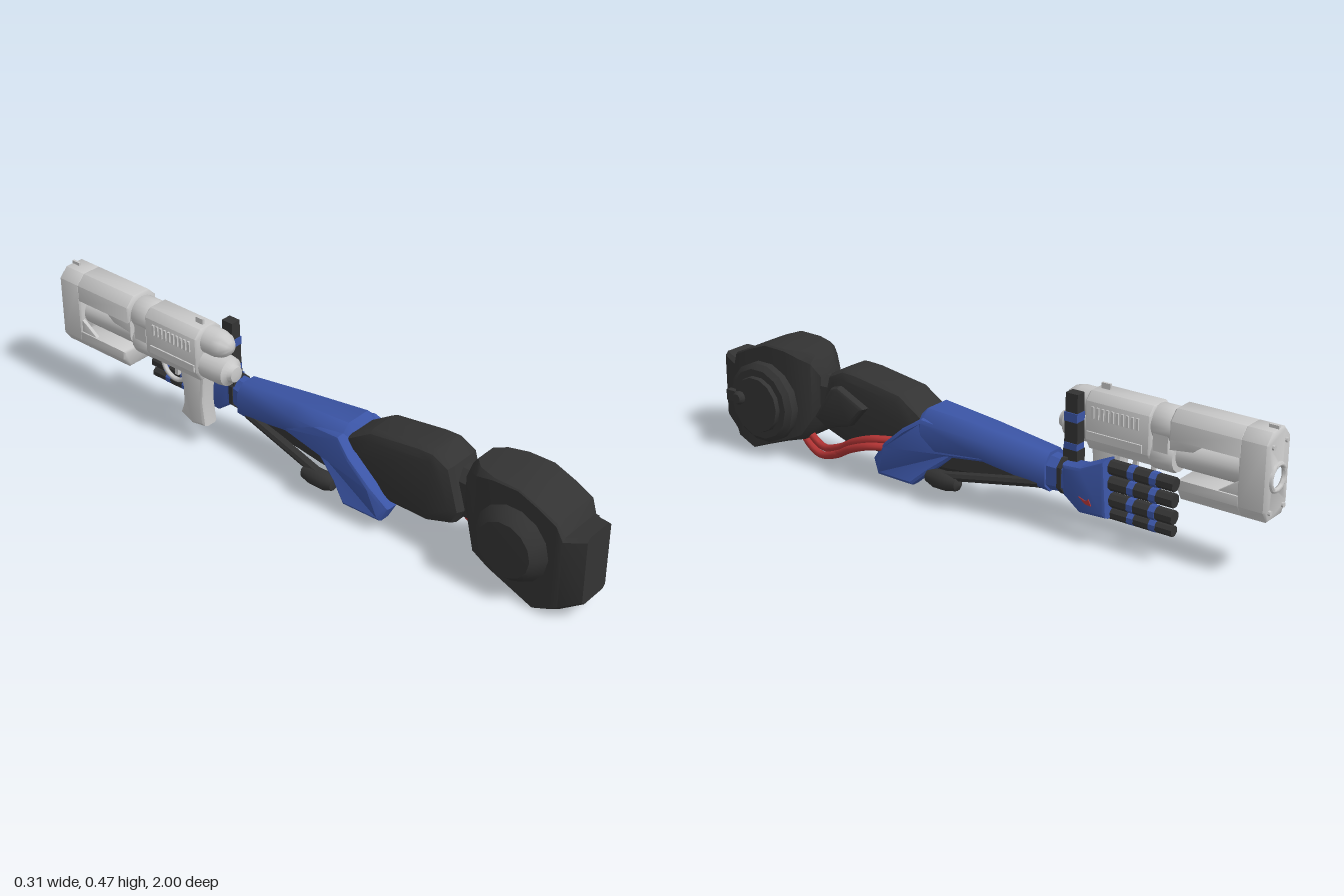
import * as THREE from 'three';
import { toCreasedNormals } from 'three/addons/utils/BufferGeometryUtils.js';

const mat = (name, color) => {
  const m = new THREE.MeshStandardMaterial({ color });
  m.name = name;
  return m;
};

export function createModel() {
  const root = new THREE.Group();
  root.name = 'armWithBlaster';
  const black = mat('charcoal', 0x333333), blue = mat('blue', 0x3b55a6);
  const grey = mat('lightGrey', 0xc8c8c8), red = mat('red', 0xb23434);

  const add = (name, geo, material, crease = 0.5) => {
    const m = new THREE.Mesh(toCreasedNormals(geo, crease), material);
    m.name = name;
    root.add(m);
    return m;
  };
  const toShape = (pts) => new THREE.Shape(pts.map((p) => new THREE.Vector2(p[0], p[1])));

  // Side profile of [z, y] points, extruded from x0 to x1; shift(z) moves it sideways along its length
  const slab = (name, pts, x0, x1, bevel, material, shift = () => 0) => {
    const g = new THREE.ExtrudeGeometry(toShape(pts), {
      depth: x1 - x0 - 2 * bevel, bevelEnabled: bevel > 0, bevelSize: bevel, bevelOffset: -bevel,
      bevelThickness: bevel, bevelSegments: 2,
    });
    g.rotateY(-Math.PI / 2).translate(x1 - bevel, 0, 0);
    const p = g.attributes.position;
    for (let i = 0; i < p.count; i++) p.setX(i, p.getX(i) + shift(p.getZ(i)));
    return add(name, g, material);
  };

  // Front profile of [x, y] points, extruded from z0 up to z1
  const prism = (name, pts, z0, z1, material, hole) => {
    const s = toShape(pts);
    if (hole) s.holes.push(new THREE.Path().absarc(hole[0], hole[1], hole[2], 0, Math.PI * 2, true));
    const b = 0.006;
    const g = new THREE.ExtrudeGeometry(s, {
      depth: z1 - z0 - 2 * b, bevelSize: b, bevelOffset: -b, bevelThickness: b, bevelSegments: 1, curveSegments: 16,
    });
    g.translate(0, 0, z0 + b);
    return add(name, g, material, 0.85);
  };

  // Chamfered box sections [z, x0, x1, y0, y1, chamfer], listed from high z to low z
  const loft = (name, rows, material, crease) => {
    const pos = [], idx = [], n = rows.length;
    for (const [z, x0, x1, y0, y1, c] of rows) {
      pos.push(x0 + c, y0, z, x1 - c, y0, z, x1, y0 + c, z, x1, y1 - c, z,
        x1 - c, y1, z, x0 + c, y1, z, x0, y1 - c, z, x0, y0 + c, z);
    }
    for (let r = 0; r < n - 1; r++) {
      for (let i = 0; i < 8; i++) {
        const a = r * 8 + i, b = r * 8 + (i + 1) % 8;
        idx.push(a, a + 8, b, b, a + 8, b + 8);
      }
    }
    const last = (n - 1) * 8;
    for (let i = 1; i < 7; i++) idx.push(0, i, i + 1, last, last + i + 1, last + i);
    const g = new THREE.BufferGeometry();
    g.setAttribute('position', new THREE.Float32BufferAttribute(pos, 3));
    g.setIndex(idx);
    return add(name, g, material, crease);
  };

  const box = (name, x, y, z, w, h, d, material) =>
    add(name, new THREE.BoxGeometry(w, h, d).translate(x, y, z), material);
  // Turned profile of [radius, offset] points, rising along the x or z axis
  const turned = (name, pts, axis, x, y, z, sides, material) => {
    const g = new THREE.LatheGeometry(pts.map((p) => new THREE.Vector2(p[0], p[1])), sides);
    if (axis === 'x') g.rotateZ(-Math.PI / 2);
    else g.rotateX(Math.PI / 2);
    return add(name, g.translate(x, y, z), material, 0.7);
  };

  // Shoulder
  loft('shoulder', [
    [1.0, -0.07, 0.045, 0.065, 0.295, 0.012], [0.94, -0.1, 0.065, 0.035, 0.283, 0.012],
    [0.915, -0.1, 0.08, 0.025, 0.32, 0.006], [0.855, -0.1, 0.08, 0, 0.348, 0.004],
    [0.785, -0.1, 0.08, 0.028, 0.375, 0.004], [0.7, -0.1, 0.08, 0.06, 0.375, 0.006],
    [0.64, -0.095, 0.075, 0.075, 0.374, 0.02], [0.605, -0.07, 0.06, 0.12, 0.37, 0.03],
    [0.575, -0.05, 0.045, 0.17, 0.33, 0.03],
  ], black, 0.7);
  turned('shoulderDisc', [[0.135, 0], [0.135, 0.03], [0.118, 0.045], [0.095, 0.045], [0.092, 0.06], [0, 0.06]],
    'x', 0.075, 0.182, 0.785, 14, black);
  turned('shoulderInnerPad', [[0, -0.047], [0.09, -0.045], [0.105, -0.03], [0.125, 0]],
    'x', -0.098, 0.19, 0.775, 14, black);
  turned('shoulderHub', [[0.022, 0], [0.022, 0.022], [0.016, 0.03], [0, 0.03]], 'x', 0.125, 0.195, 0.85, 12, black);
  box('hubBar', 0.132, 0.195, 0.88, 0.02, 0.036, 0.05, black);

  // Upper arm
  loft('armNeck', [[0.62, -0.05, 0.05, 0.13, 0.3, 0.03], [0.5, -0.05, 0.04, 0.13, 0.3, 0.03]], black);
  slab('upperArm', [[0.575, 0.18], [0.535, 0.32], [0.475, 0.35], [0.42, 0.348], [0.24, 0.322], [0.15, 0.265],
    [0.17, 0.19], [0.3, 0.1], [0.46, 0.1], [0.55, 0.13]], -0.085, 0.065, 0.03, black);
  slab('upperArmPanel', [[0.57, 0.18], [0.5, 0.29], [0.47, 0.3], [0.36, 0.25], [0.42, 0.18], [0.52, 0.15]],
    0.05, 0.09, 0.012, black);

  // Cables
  for (const o of [0, 1]) {
    const path = new THREE.CatmullRomCurve3([
      [0.03, 0.075, 0.67], [0.045, 0.055, 0.63], [0.06, 0.04, 0.57], [0.075, 0.065, 0.49],
      [0.098, 0.11, 0.41], [0.1, 0.14, 0.33], [0.075, 0.145, 0.26],
    ].map(([x, y, z]) => new THREE.Vector3(x - o * 0.012, y + o * 0.022, z - o * 0.005)));
    add('cable', new THREE.TubeGeometry(path, 28, 0.0125, 8), red, 1);
  }

  // Elbow and forearm
  add('elbowJoint', new THREE.CylinderGeometry(0.06, 0.06, 0.16, 16).rotateZ(Math.PI / 2)
    .translate(-0.012, 0.12, 0.23), black);
  loft('forearm', [
    [0.2, -0.08, 0.07, 0.15, 0.235, 0.03], [0.14, -0.09, 0.08, 0.13, 0.295, 0.04],
    [-0.07, -0.078, 0.06, 0.155, 0.277, 0.035], [-0.3, -0.065, 0.042, 0.125, 0.25, 0.028],
  ], blue, 0.8);
  // Elbow guards flare outward at the elbow and fold into the forearm
  const guard = [[0.14, 0.27], [-0.05, 0.24], [-0.12, 0.18], [0.03, 0.16], [0.115, 0.095], [0.17, 0.045],
    [0.31, 0.045], [0.335, 0.095], [0.28, 0.16], [0.2, 0.23]];
  const fold = (z) => (z > 0.27 ? (z - 0.27) * 0.35 : THREE.MathUtils.clamp((0.2 - z) * 0.35, 0, 0.05));
  slab('elbowGuardLeft', guard, 0.05, 0.1, 0.012, blue, (z) => -fold(z));
  slab('elbowGuardRight', guard, -0.125, -0.07, 0.012, blue, fold);
  loft('forearmUnderside', [
    [0.16, -0.07, 0.05, 0.08, 0.2, 0.03], [0.05, -0.07, 0.05, 0.09, 0.2, 0.03],
    [-0.28, -0.045, 0.025, 0.125, 0.2, 0.02],
  ], black);
  for (const x of [-0.094, 0.066]) {
    turned('forearmPod', [[0, -0.07], [0.022, -0.055], [0.03, -0.02], [0.03, 0.03], [0.02, 0.06], [0, 0.065]],
      'z', x, 0.085, 0.06, 12, black);
    const rod = new THREE.LineCurve3(new THREE.Vector3(x, 0.1, 0.06),
      new THREE.Vector3(x < 0 ? -0.045 : 0.025, 0.15, -0.27));
    add('forearmRod', new THREE.TubeGeometry(rod, 1, 0.016, 8), black);
  }

  // Wrist and hand
  loft('wrist', [[-0.3, -0.05, 0.035, 0.13, 0.24, 0.025], [-0.37, -0.035, 0.035, 0.14, 0.235, 0.02]], blue);
  loft('wristBand', [[-0.34, -0.045, 0.038, 0.13, 0.245, 0.025], [-0.355, -0.045, 0.038, 0.13, 0.245, 0.025]], black);
  slab('hand', [[-0.355, 0.235], [-0.42, 0.24], [-0.5, 0.278], [-0.515, 0.1], [-0.42, 0.095], [-0.36, 0.14]],
    -0.03, 0.038, 0.012, blue);
  slab('handMark', [[-0.42, 0.15], [-0.445, 0.142], [-0.455, 0.15], [-0.465, 0.13], [-0.445, 0.132]],
    0.036, 0.041, 0, red);
  [0.252, 0.202, 0.15, 0.108].forEach((y, i) => {
    const r = i < 3 ? 0.023 : 0.018;
    const seg = (name, z0, z1, k, m) => add(name, new THREE.CylinderGeometry(r * k, r * k, z0 - z1, 8)
      .rotateX(Math.PI / 2).rotateZ(Math.PI / 8).translate(-0.002, y, (z0 + z1) / 2), m);
    seg('fingerBase', -0.505, -0.572, 1, black);
    seg('fingerMiddle', -0.59, -0.646, 1, black);
    seg('fingerTip', -0.664, -0.722, 0.95, black);
    seg('fingerJoint', -0.57, -0.592, 1.02, blue);
    seg('fingerJoint', -0.644, -0.666, 1.02, blue);
  });
  box('thumbBase', -0.018, 0.245, -0.362, 0.04, 0.05, 0.05, black);
  box('thumbLowerJoint', -0.017, 0.28, -0.362, 0.038, 0.022, 0.046, blue);
  box('thumbMiddle', -0.018, 0.324, -0.362, 0.036, 0.068, 0.046, black);
  box('thumbUpperJoint', -0.0165, 0.371, -0.362, 0.039, 0.028, 0.046, blue);
  box('thumbTip', -0.018, 0.414, -0.362, 0.035, 0.06, 0.042, black);

  // Blaster: rear caps
  turned('rearUpperCap', [[0.045, 0], [0.045, 0.065], [0.038, 0.092], [0.022, 0.112], [0, 0.12]],
    'z', -0.088, 0.398, -0.41, 20, grey);
  turned('rearLowerCap', [[0.05, 0], [0.05, 0.09], [0.046, 0.115], [0.03, 0.125], [0.025, 0.14], [0, 0.145]],
    'z', -0.095, 0.318, -0.41, 20, grey);
  // Receiver and collar
  prism('receiver', [[-0.125, 0.445], [-0.06, 0.445], [-0.035, 0.42], [-0.035, 0.3], [-0.055, 0.265],
    [-0.13, 0.265], [-0.15, 0.3], [-0.15, 0.42]], -0.61, -0.385, grey);
  for (const x of [-0.151, -0.034]) {
    for (let i = 0; i < 10; i++) box('ventRib', x, 0.388, -0.415 - i * 0.017, 0.009, 0.036, 0.008, grey);
    box('sideRail', x, 0.315, -0.49, 0.008, 0.025, 0.19, grey);
  }
  for (const [y, r] of [[0.392, 0.055], [0.3, 0.053]]) {
    turned('collar', [[0, -0.04], [r - 0.005, -0.04], [r, -0.03], [r, 0.03], [r - 0.005, 0.04], [0, 0.04]],
      'z', -0.092, y, -0.64, 20, grey);
  }
  box('collarBlock', -0.092, 0.345, -0.64, 0.1, 0.09, 0.05, grey);
  // Barrel shroud with open side windows
  const full = [[-0.125, 0.456], [-0.06, 0.456], [-0.03, 0.425], [-0.03, 0.225], [-0.05, 0.19],
    [-0.13, 0.19], [-0.155, 0.225], [-0.155, 0.425]];
  prism('shroudFront', full, -0.99, -0.9, grey, [-0.092, 0.315, 0.038]);
  prism('shroudTop', [[-0.125, 0.456], [-0.06, 0.456], [-0.03, 0.425], [-0.03, 0.37], [-0.155, 0.37],
    [-0.155, 0.425]], -0.91, -0.675, grey);
  prism('shroudBottom', [[-0.03, 0.255], [-0.03, 0.225], [-0.05, 0.19], [-0.13, 0.19], [-0.155, 0.225],
    [-0.155, 0.255]], -0.91, -0.705, grey);
  for (const x of [-0.15, -0.048]) {
    slab('windowBrace', [[-0.675, 0.375], [-0.79, 0.375], [-0.75, 0.345], [-0.675, 0.335]], x, x + 0.012, 0.002, grey);
    slab('windowFoot', [[-0.83, 0.25], [-0.905, 0.25], [-0.905, 0.3], [-0.88, 0.285]], x, x + 0.012, 0.002, grey);
  }
  turned('barrel', [[0, -0.15], [0.046, -0.15], [0.046, 0.1], [0, 0.1]], 'z', -0.092, 0.315, -0.79, 20, grey);
  add('muzzleRing', new THREE.TorusGeometry(0.039, 0.008, 8, 24).translate(-0.092, 0.315, -0.99), grey, 1);
  for (const x of [-0.13, -0.055]) for (const y of [0.22, 0.415]) {
    add('muzzleBolt', new THREE.CylinderGeometry(0.008, 0.008, 0.012, 8).rotateX(Math.PI / 2)
      .translate(x, y, -0.991), grey);
  }
  box('rearSight', -0.094, 0.452, -0.42, 0.008, 0.022, 0.03, grey);
  box('frontSight', -0.094, 0.458, -0.97, 0.008, 0.016, 0.03, grey);
  // Grip and trigger
  slab('grip', [[-0.39, 0.28], [-0.5, 0.28], [-0.485, 0.2], [-0.485, 0.14], [-0.5, 0.1], [-0.45, 0.075],
    [-0.39, 0.085], [-0.4, 0.17]], -0.12, -0.062, 0.012, grey);
  add('triggerGuard', new THREE.TorusGeometry(0.052, 0.008, 8, 20, Math.PI * 1.1).rotateZ(Math.PI * 0.95)
    .rotateY(Math.PI / 2).translate(-0.092, 0.245, -0.54), grey, 1);
  box('trigger', -0.092, 0.24, -0.53, 0.012, 0.05, 0.014, grey);
  return root;
}
